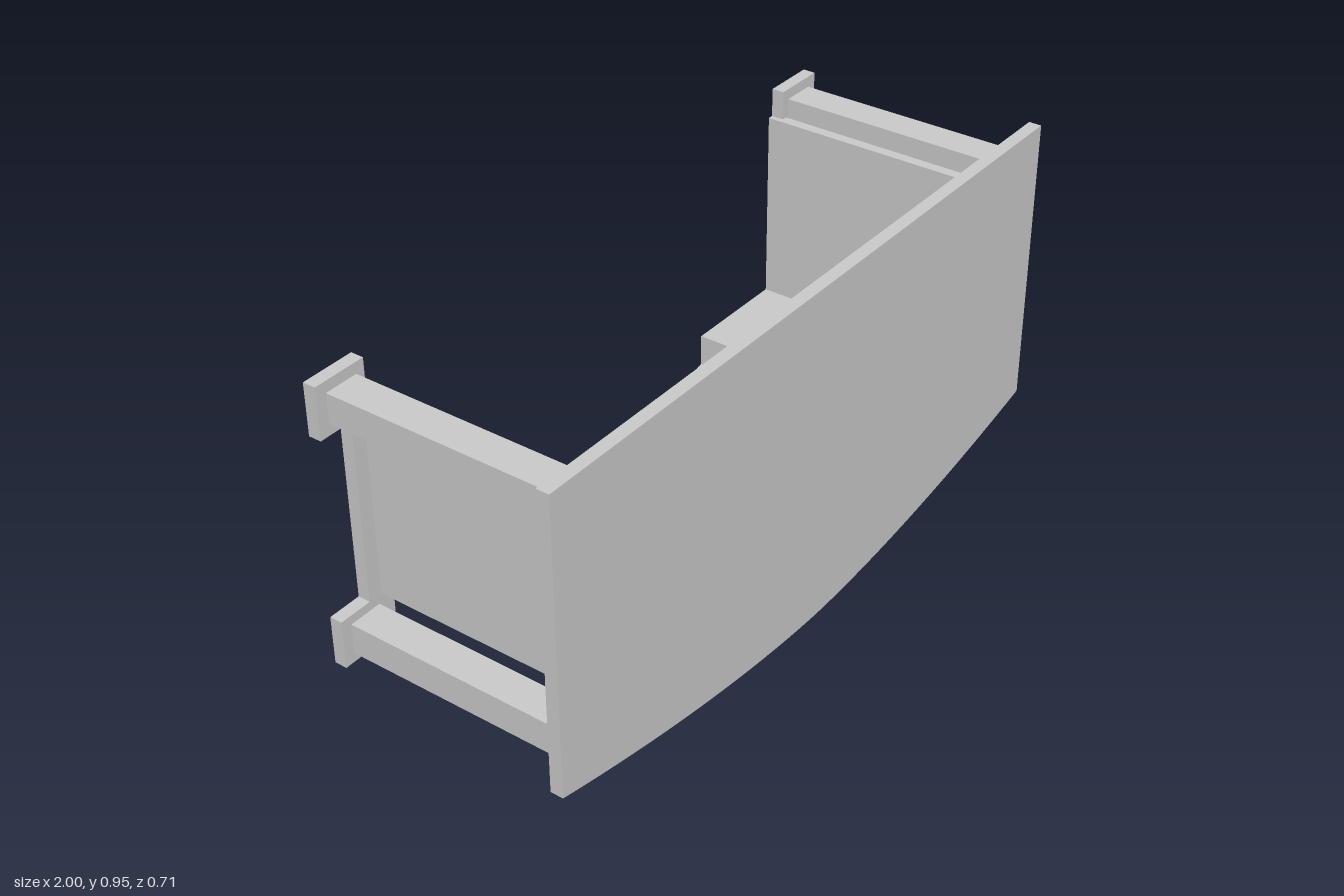
import * as THREE from 'three';

const material = new THREE.MeshStandardMaterial({ color: 0xcccccc, flatShading: true });

// Points of a sagging arc from x = 0 to x = half, rising by `rise`
function arc(half, low, rise, power = 2, n = 14) {
  return Array.from({ length: n + 1 }, (_, i) => {
    const t = i / n;
    return [half * t, low + rise * Math.pow(t, power)];
  });
}

// Closed symmetric outline from its right half, running from the lower to the upper centre point
function mirroredShape(half) {
  const right = half.map(([x, y]) => new THREE.Vector2(x, y));
  const left = half.filter(([x]) => x > 0).reverse().map(([x, y]) => new THREE.Vector2(-x, y));
  return new THREE.Shape([...right, ...left]);
}

function slab(name, half, z0, z1) {
  const geometry = new THREE.ExtrudeGeometry(mirroredShape(half), { depth: z1 - z0, bevelEnabled: false });
  geometry.translate(0, 0, z0);
  const mesh = new THREE.Mesh(geometry, material);
  mesh.name = name;
  return mesh;
}

// Box given by its limits
function block(name, x0, x1, y0, y1, z0, z1) {
  const mesh = new THREE.Mesh(new THREE.BoxGeometry(x1 - x0, y1 - y0, z1 - z0), material);
  mesh.position.set((x0 + x1) / 2, (y0 + y1) / 2, (z0 + z1) / 2);
  mesh.name = name;
  return mesh;
}

export function createModel() {
  const model = new THREE.Group();
  model.name = 'curvedCounter';
  const inner = 0.32, outer = 0.355;

  // Front panel with a bowed lower edge
  model.add(slab('frontPanel', [...arc(1, 0, 0.14, 1.7, 24), [1, 0.955], [0, 0.955]], inner, outer));

  // Upper surface shared by the tray and the back frame: curved centre, step, flat shelf
  const upper = [[0.49, 0.315], ...arc(0.49, 0.165, 0.06).reverse()];

  // Thin stepped tray
  model.add(slab('tray', [
    ...arc(0.52, 0.135, 0.06), [0.52, 0.285], [0.83, 0.285], [0.83, 0.315], ...upper,
  ], -inner, inner));

  // Back frame: sill, uprights and corner tabs in one outline
  model.add(slab('backFrame', [
    ...arc(0.56, 0.1, 0.065), [0.56, 0.24], [0.79, 0.24],
    [0.79, 0.15], [0.965, 0.15], [0.965, 0.285], [0.87, 0.285],
    [0.87, 0.79], [0.965, 0.79], [0.965, 0.93], [0.815, 0.93],
    [0.815, 0.85], [0.8, 0.85], [0.8, 0.315], ...upper,
  ], -outer, -inner));

  // Side boards and the rails outside them
  for (const [side, s] of [['left', 1], ['right', -1]]) {
    const add = (name, x0, x1, y0, y1) =>
      model.add(block(side + name, Math.min(s * x0, s * x1), Math.max(s * x0, s * x1), y0, y1, -inner, inner));
    add('SideBoard', 0.8, 0.83, 0.315, 0.85);
    add('UpperRail', 0.84, 0.935, 0.82, 0.9);
    add('LowerRail', 0.84, 0.935, 0.175, 0.26);
  }
  return model;
}
